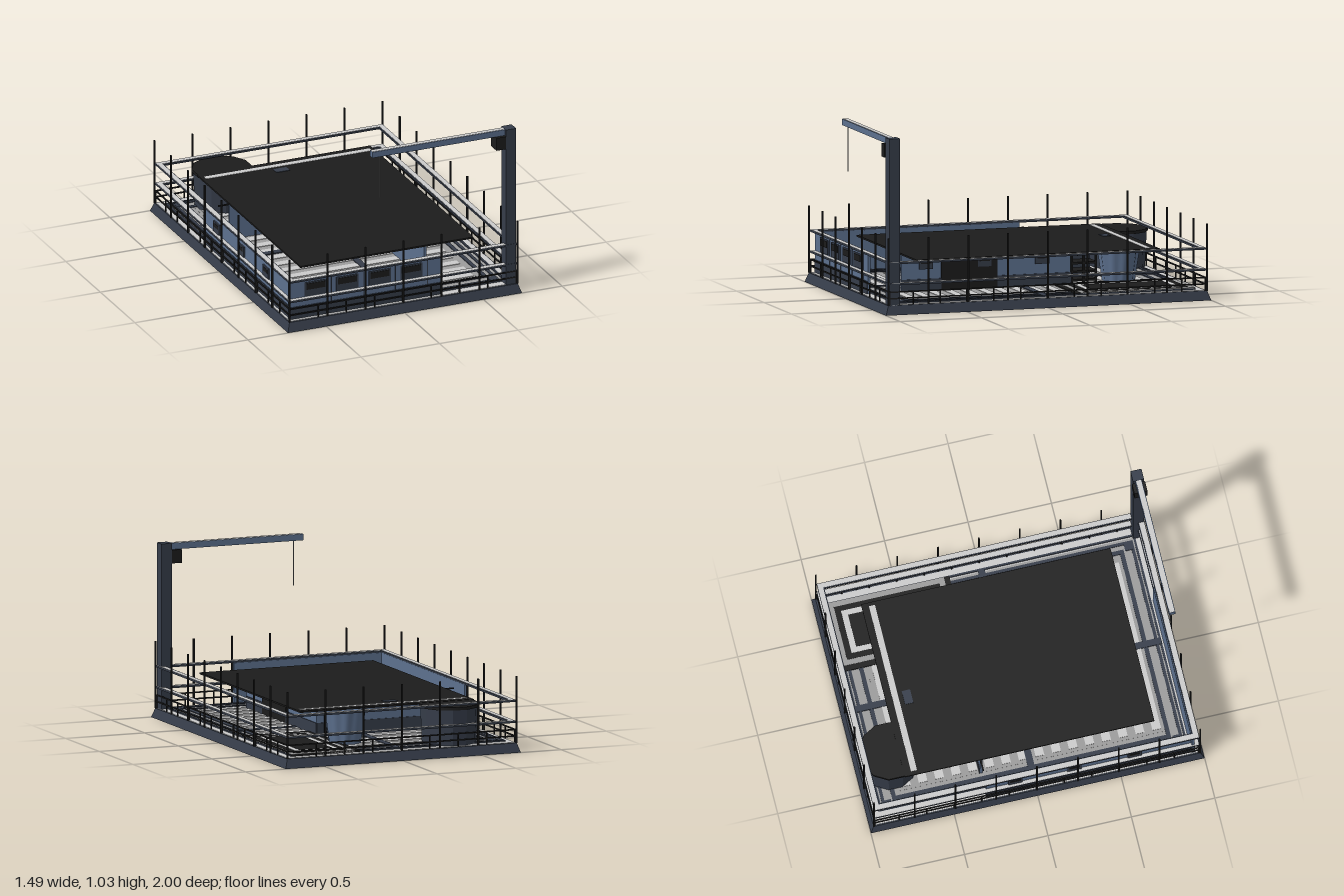
import * as THREE from 'three';

const mat = (name, color) => Object.assign(new THREE.MeshStandardMaterial({ color }), { name });
const M = {
  blue: mat('blue panel', 0x5d718f),
  steel: mat('dark steel', 0x363d4a),
  black: mat('black', 0x1c1c1c),
  light: mat('light grey', 0xcccccc),
  grey: mat('mid grey', 0x9c9c9c),
};

export function createModel() {
  const model = new THREE.Group();
  model.name = 'platform';

  const section = (name) => {
    const g = new THREE.Group();
    g.name = name;
    model.add(g);
    return g;
  };
  const add = (parent, name, geo, m, x = 0, y = 0, z = 0) => {
    const mesh = new THREE.Mesh(geo, m);
    mesh.name = name;
    mesh.position.set(x, y, z);
    parent.add(mesh);
    return mesh;
  };
  // Box given by its limits on each axis
  const box = (parent, name, m, x0, x1, y0, y1, z0, z1) =>
    add(parent, name, new THREE.BoxGeometry(x1 - x0, y1 - y0, z1 - z0), m,
      (x0 + x1) / 2, (y0 + y1) / 2, (z0 + z1) / 2);
  // Rectangular ring of four bars, outer half sizes hx and hz, bar width w
  const ring = (parent, name, m, hx, hz, w, y0, y1) => {
    for (const s of [-1, 1]) {
      const zc = s * (hz - w / 2), xc = s * (hx - w / 2);
      box(parent, name, m, -hx, hx, y0, y1, zc - w / 2, zc + w / 2);
      box(parent, name, m, xc - w / 2, xc + w / 2, y0, y1, -hz + w, hz - w);
    }
  };

  // Base with sloping sides
  const base = new THREE.BoxGeometry(1.49, 0.055, 2);
  const p = base.attributes.position;
  for (let i = 0; i < p.count; i++) {
    if (p.getY(i) > 0) p.setXYZ(i, p.getX(i) * 0.976, p.getY(i), p.getZ(i) * 0.98);
  }
  base.computeVertexNormals();
  add(model, 'base', base, M.steel, 0, 0.0275, 0);

  // Deck with frames, cross beams and slatted floor
  const deck = section('deck');
  box(deck, 'outerDeck', M.light, -0.72, 0.72, 0.054, 0.058, -0.97, 0.97);
  box(deck, 'innerDeck', M.grey, -0.66, 0.66, 0.056, 0.061, -0.91, 0.91);
  ring(deck, 'outerFrame', M.steel, 0.68, 0.92, 0.012, 0.055, 0.066);
  ring(deck, 'middleFrame', M.steel, 0.645, 0.9, 0.018, 0.055, 0.066);
  ring(deck, 'innerFrame', M.steel, 0.6, 0.835, 0.025, 0.055, 0.066);
  box(deck, 'innerFloor', M.grey, -0.55, 0.55, 0.057, 0.062, -0.79, 0.795);
  for (let i = 0; i < 16; i++) {
    const z = 0.765 - i * 0.1;
    box(deck, 'floorSlat', M.light, -0.53, 0.53, 0.058, 0.065, z - 0.026, z + 0.026);
  }
  box(deck, 'longBeam', M.steel, -0.02, 0.02, 0.055, 0.068, -0.92, 0.92);
  box(deck, 'crossBeam', M.steel, -0.67, 0.67, 0.055, 0.068, -0.02, 0.02);
  for (const x of [-0.615, 0.615])
    for (const z of [-0.87, 0.87]) box(deck, 'frameCorner', M.steel, x - 0.026, x + 0.026, 0.055, 0.067, z - 0.026, z + 0.026);

  // Low pad of nested rectangles in the back corner
  const pad = section('cornerPad');
  [M.black, M.grey, M.black, M.light, M.black].forEach((m, i) => {
    const d = i * 0.033;
    box(pad, 'padLayer', m, 0.243 + d, 0.677 - Math.max(0, i - 1) * 0.033, 0.055, 0.069 + i * 0.0015,
      -0.925 + Math.max(0, i - 1) * 0.035, -0.19 - d);
  });

  // Railing: tall posts and two flat rails
  const railing = section('railing');
  const post = new THREE.BoxGeometry(0.009, 0.395, 0.009);
  for (let i = -3; i <= 3; i++)
    for (const s of [-1, 1]) add(railing, 'post', post, M.black, i * 0.242, 0.2525, s * 0.978);
  for (let i = 1; i < 8; i++)
    for (const s of [-1, 1]) add(railing, 'post', post, M.black, s * 0.728, 0.2525, -0.978 + i * 0.2445);
  for (const y of [0.18, 0.304]) {
    ring(railing, 'rail', M.steel, 0.724, 0.974, 0.038, y - 0.007, y + 0.004);
    ring(railing, 'railTop', M.light, 0.722, 0.972, 0.03, y + 0.004, y + 0.006);
  }

  // Low fence
  const fence = section('lowFence');
  for (const y of [0.095, 0.133]) ring(fence, 'lowRail', M.black, 0.724, 0.974, 0.007, y - 0.004, y + 0.004);
  const stake = new THREE.BoxGeometry(0.007, 0.08, 0.007);
  for (let i = -4; i <= 4; i++)
    for (const s of [-1, 1]) add(fence, 'stake', stake, M.black, i * 0.18, 0.095, s * 0.97);
  for (let i = -5; i <= 5; i++)
    for (const s of [-1, 1]) add(fence, 'stake', stake, M.black, s * 0.72, 0.095, i * 0.165);

  // Cabin walls, with a dark skirting on the outside
  const cabin = section('cabin');
  const X0 = -0.7, X1 = 0.25, Z0 = -0.3, Z1 = 0.945, ZR = 0.74;
  box(cabin, 'frontWall', M.blue, -0.715, X1, 0.055, 0.298, Z1 - 0.015, Z1);
  box(cabin, 'backWall', M.blue, -0.553, X1, 0.055, 0.286, Z0, Z0 + 0.015);
  box(cabin, 'leftSideWall', M.blue, X0, X0 + 0.015, 0.055, 0.298, Z0, Z1 - 0.015);
  box(cabin, 'rightSideWall', M.blue, X1 - 0.015, X1, 0.055, 0.286, Z0 + 0.015, ZR);
  box(cabin, 'frontSkirting', M.steel, -0.715, X1, 0.055, 0.132, Z1, Z1 + 0.005);
  box(cabin, 'backSkirting', M.steel, -0.553, X1, 0.055, 0.132, Z0 - 0.005, Z0);
  box(cabin, 'leftSkirting', M.steel, X0 - 0.005, X0, 0.055, 0.132, Z0, Z1);
  box(cabin, 'rightSkirting', M.steel, X1, X1 + 0.005, 0.055, 0.132, Z0, ZR);
  box(cabin, 'wallTie', M.black, -0.62, -0.55, 0.276, 0.284, Z0, Z0 + 0.008);

  // Front windows with panel seams
  for (const x of [-0.546, -0.344, -0.138, 0.064]) {
    box(cabin, 'windowFrame', M.steel, x - 0.07, x + 0.07, 0.19, 0.277, Z1, Z1 + 0.004);
    box(cabin, 'windowPane', M.black, x - 0.06, x + 0.06, 0.23, 0.268, Z1 + 0.004, Z1 + 0.007);
    box(cabin, 'panelSeam', M.steel, x + 0.1, x + 0.104, 0.132, 0.298, Z1, Z1 + 0.003);
  }
  // Side windows
  for (const z of [0.59, 0.23, -0.125]) {
    for (const [x, s] of [[X1, 1], [X0, -1]]) {
      const plate = (name, m, w, y0, y1, d0, d1) =>
        box(cabin, name, m, Math.min(x + s * d0, x + s * d1), Math.max(x + s * d0, x + s * d1), y0, y1, z - w, z + w);
      plate('sideWindowFrame', M.steel, 0.042, 0.19, 0.255, 0, 0.009);
      plate('sideWindowPane', M.black, 0.032, 0.222, 0.246, 0.009, 0.011);
    }
  }
  box(cabin, 'doorway', M.black, X1, X1 + 0.007, 0.06, 0.285, 0.15, 0.495);

  // Flat roof with a pale strip and a vent
  const roof = section('roof');
  box(roof, 'roofSlab', M.black, -0.553, 0.547, 0.28, 0.29, -0.75, 0.745);
  box(roof, 'roofStrip', M.light, -0.53, 0.524, 0.29, 0.292, -0.708, -0.672);
  box(roof, 'roofVent', M.steel, -0.118, -0.033, 0.285, 0.293, -0.645, -0.595);

  // Round tank in the back corner
  const tank = section('tank');
  const body = add(tank, 'tankBody', new THREE.CylinderGeometry(0.17, 0.16, 0.215, 12).toNonIndexed(), M.steel, -0.375, 0.1625, -0.8);
  body.geometry.computeVertexNormals();
  const lid = add(tank, 'tankLid', new THREE.CylinderGeometry(0.178, 0.178, 0.018, 12), M.black, -0.375, 0.279, -0.8);
  body.rotation.y = lid.rotation.y = Math.PI / 12;

  // Tapered fluted tub under the roof
  const tub = new THREE.CylinderGeometry(0.12, 0.092, 0.205, 40, 1);
  const q = tub.attributes.position;
  for (let i = 0; i < q.count; i++) {
    const a = Math.atan2(q.getZ(i), q.getX(i));
    const k = 1 + 0.05 * Math.cos(a * 10);
    q.setXYZ(i, q.getX(i) * k, q.getY(i), q.getZ(i) * k);
  }
  tub.computeVertexNormals();
  add(model, 'tub', tub, M.blue, 0.205, 0.166, -0.61);

  // Storage rack behind the cabin
  const rack = section('rack');
  box(rack, 'rackBack', M.steel, 0.07, 0.08, 0.06, 0.275, -0.476, -0.316);
  for (const z of [-0.47, -0.395, -0.322]) box(rack, 'rackPost', M.black, 0.2, 0.212, 0.06, 0.275, z - 0.006, z + 0.006);
  for (const y of [0.07, 0.12, 0.17, 0.22, 0.262])
    box(rack, 'shelf', M.black, 0.08, 0.212, y, y + 0.012, -0.476, -0.316);

  // Crane with arm, bracket and cable
  const crane = section('crane');
  box(crane, 'craneColumn', M.steel, 0.654, 0.72, 0.055, 1.035, 0.906, 0.972);
  box(crane, 'craneArm', M.blue, -0.188, 0.654, 0.996, 1.032, 0.92, 0.958);
  box(crane, 'craneArmTop', M.light, -0.186, 0.654, 1.032, 1.034, 0.924, 0.954);
  box(crane, 'craneBracket', M.black, 0.592, 0.654, 0.917, 0.996, 0.9, 0.978);
  add(crane, 'cable', new THREE.CylinderGeometry(0.0025, 0.0025, 0.27, 6), M.grey, -0.132, 0.865, 0.939);

  return model;
}
